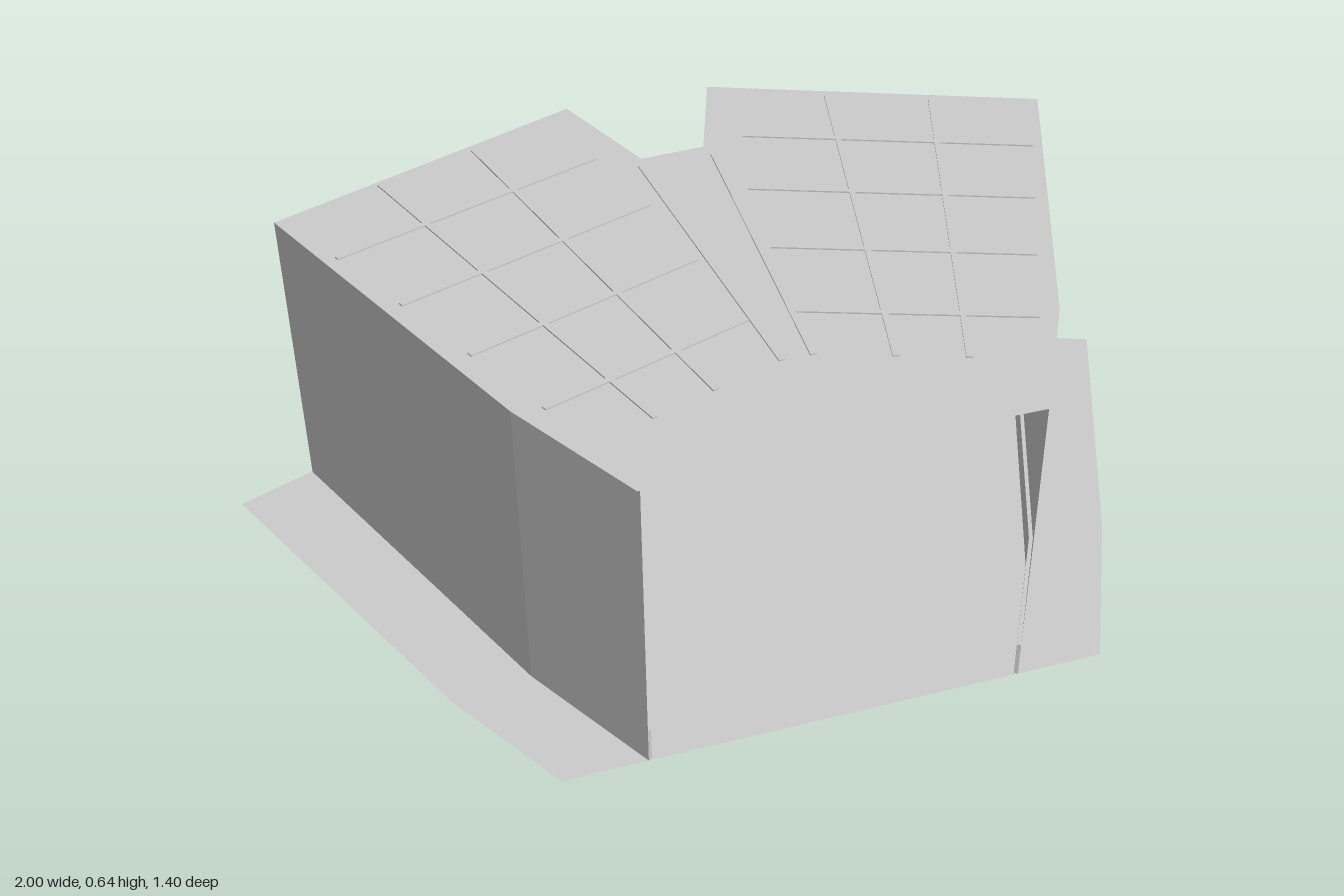
import * as THREE from 'three';

const grey = new THREE.MeshStandardMaterial({ color: 0xcccccc, side: THREE.DoubleSide, flatShading: true });
const H = 0.635;

// Flat slab outline given as [x, z] points
function plate(name, pts, y) {
  const shape = new THREE.Shape(pts.map(([x, z]) => new THREE.Vector2(x, -z)));
  const geo = new THREE.ShapeGeometry(shape).rotateX(-Math.PI / 2);
  const mesh = new THREE.Mesh(geo, grey);
  mesh.position.y = y;
  mesh.name = name;
  return mesh;
}

// Thin upright wall following a path of [x, z] points
function wall(name, path) {
  const pos = [];
  for (let i = 0; i < path.length - 1; i++) {
    const [ax, az] = path[i], [bx, bz] = path[i + 1];
    pos.push(ax, 0, az, bx, 0, bz, bx, H, bz, ax, 0, az, bx, H, bz, ax, H, az);
  }
  const geo = new THREE.BufferGeometry();
  geo.setAttribute('position', new THREE.Float32BufferAttribute(pos, 3));
  geo.computeVertexNormals();
  const mesh = new THREE.Mesh(geo, grey);
  mesh.name = name;
  return mesh;
}

// Straight bar between two [x, z] points, shifted sideways by offset
function bar(name, [ax, az], [bx, bz], width, height, y, offset = 0) {
  const dx = bx - ax, dz = bz - az, len = Math.hypot(dx, dz);
  const mesh = new THREE.Mesh(new THREE.BoxGeometry(len, height, width), grey);
  mesh.position.set((ax + bx) / 2 - (dz / len) * offset, y + height / 2, (az + bz) / 2 + (dx / len) * offset);
  mesh.rotation.y = -Math.atan2(dz, dx);
  mesh.name = name;
  return mesh;
}

const lerp = (a, b, t) => [a[0] + (b[0] - a[0]) * t, a[1] + (b[1] - a[1]) * t];

export function createModel() {
  const model = new THREE.Group();

  // Floor and notched roof
  model.add(plate('floor', [[0, -0.7], [1, -0.29], [0.72, 0.35], [0.54, 0.7],
    [-0.54, 0.7], [-0.69, 0.44], [-1, -0.28]], 0));
  model.add(plate('roof', [[-0.38, 0.7], [0.365, 0.7], [0.52, 0.42], [0.84, -0.36], [0.16, -0.64],
    [0.07, -0.38], [-0.07, -0.37], [-0.165, -0.635], [-0.84, -0.345], [-0.53, 0.42]], H));

  // Side walls, and the V-shaped wall reaching in under the roof
  const paths = {
    leftWall: [[0.365, 0.7], [0.52, 0.42], [0.84, -0.36]],
    rightWall: [[-0.84, -0.345], [-0.53, 0.42], [-0.375, 0.7]],
    wedgeWall: [[0.16, -0.64], [-0.01, -0.13], [-0.165, -0.635]],
  };
  for (const [name, path] of Object.entries(paths)) {
    model.add(wall(name, path));
    // Skirting boards on the room side
    for (let i = 0; i < path.length - 1; i++)
      model.add(bar('skirting', path[i], path[i + 1], 0.008, 0.075, 0,
        name === 'wedgeWall' ? 0.004 : -0.004));
  }

  // Roof seams: a grid on each wing, converging towards the front
  const seams = new THREE.Group();
  seams.name = 'roofSeams';
  for (const s of [1, -1]) {
    const outer = (t) => lerp([s * 0.83, -0.35], [s * 0.42, 0.56], t);
    const inner = (t) => lerp([s * 0.16, -0.62], [s * 0.03, 0.42], t);
    const at = (u, t) => lerp(inner(t), outer(t), u);
    for (const u of [0.36, 0.68]) seams.add(bar('longSeam', at(u, 0.01), at(u, 1), 0.012, 0.003, H));
    for (const t of [0.2, 0.42, 0.64, 0.86])
      seams.add(bar('crossSeam', at(t < 0.3 ? 0.05 : 0, t), at(0.99, t), 0.012, 0.003, H));
    seams.add(bar('centreSeam', [s * 0.08, -0.34], [s * 0.03, 0.42], 0.012, 0.003, H));
  }
  model.add(seams);
  return model;
}
